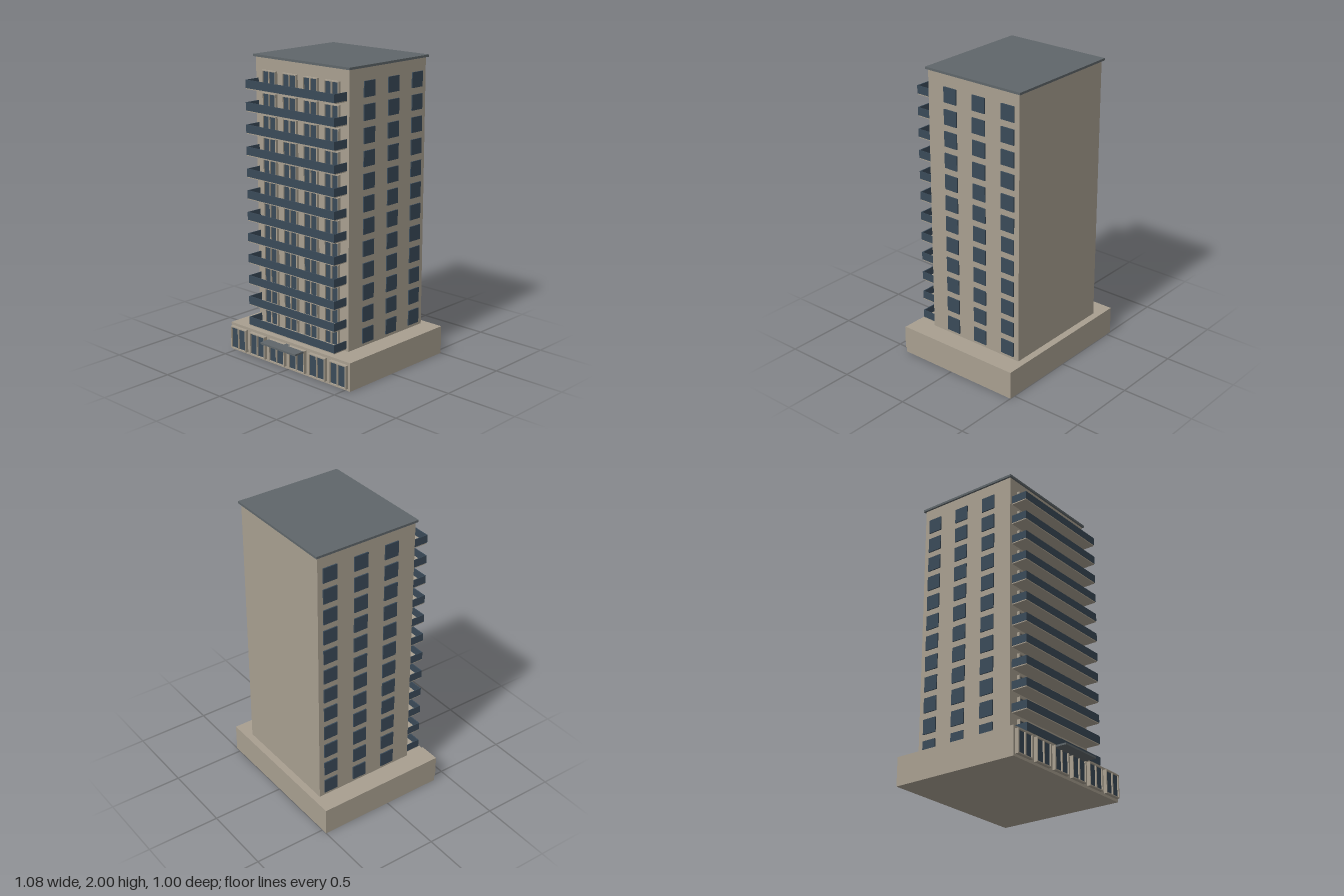
import * as THREE from 'three';

export function createModel() {
  const tower = new THREE.Group();
  tower.name = 'apartmentTower';

  const mat = (name, color) => {
    const m = new THREE.MeshStandardMaterial({ color });
    m.name = name;
    return m;
  };
  const wall = mat('beigeConcrete', 0xa89f90);
  const glass = mat('blueGlass', 0x3a4a58);
  const roofGrey = mat('roofGrey', 0x5f666a);

  // Box given by its low and high limits on each axis
  const box = (parent, name, material, [x0, x1], [y0, y1], [z0, z1]) => {
    const mesh = new THREE.Mesh(new THREE.BoxGeometry(x1 - x0, y1 - y0, z1 - z0), material);
    mesh.position.set((x0 + x1) / 2, (y0 + y1) / 2, (z0 + z1) / 2);
    mesh.name = name;
    parent.add(mesh);
    return mesh;
  };

  // Framed glazing on a front wall: open frame, centre mullion and recessed glass
  const glazing = (parent, name, x, y, z, w, h, depth, bar) => {
    const g = new THREE.Group();
    g.name = name;
    const s = new THREE.Shape();
    s.moveTo(-w / 2, 0).lineTo(w / 2, 0).lineTo(w / 2, h).lineTo(-w / 2, h).closePath();
    for (const side of [-1, 1]) {
      const a = side * bar / 2, b = side * (w / 2 - bar);
      const hole = new THREE.Path();
      hole.moveTo(a, bar).lineTo(a, h - bar).lineTo(b, h - bar).lineTo(b, bar).closePath();
      s.holes.push(hole);
    }
    const frame = new THREE.Mesh(new THREE.ExtrudeGeometry(s, { depth, bevelEnabled: false }), wall);
    frame.name = 'frame';
    g.add(frame);
    box(g, 'pane', glass, [-w / 2 + bar / 2, w / 2 - bar / 2], [bar / 2, h - bar / 2], [0, depth * 0.55]);
    g.position.set(x, y, z);
    parent.add(g);
  };

  // Main masses
  box(tower, 'podium', wall, [-0.54, 0.54], [0, 0.19], [-0.5, 0.4]);
  box(tower, 'shaft', wall, [-0.403, 0.403], [0.19, 1.985], [-0.452, 0.267]);
  box(tower, 'roofSlab', roofGrey, [-0.416, 0.416], [1.985, 2], [-0.466, 0.279]);

  // Ground-floor shopfronts and entrance canopy
  for (let i = 0; i < 6; i++) {
    glazing(tower, 'shopfront', (i - 2.5) * 0.181, 0.017, 0.4, 0.142, 0.155, 0.024, 0.007);
  }
  box(tower, 'canopy', roofGrey, [-0.158, 0.158], [0.16, 0.172], [0.4, 0.5]);

  // Twelve repeated storeys
  for (let f = 0; f < 12; f++) {
    const y = 0.2 + f * 0.1445;
    const storey = new THREE.Group();
    storey.name = 'storey';
    tower.add(storey);

    // Balcony with floor slab and thin parapets
    box(storey, 'balconyFloor', wall, [-0.383, 0.383], [y, y + 0.009], [0.267, 0.377]);
    box(storey, 'balconyFront', glass, [-0.385, 0.385], [y + 0.007, y + 0.06], [0.373, 0.38]);
    for (const s of [-1, 1]) {
      const ends = [s * 0.381, s * 0.385].sort((a, b) => a - b);
      box(storey, 'balconyEnd', glass, ends, [y + 0.007, y + 0.06], [0.267, 0.375]);
    }

    // Balcony doors
    for (let i = 0; i < 4; i++) {
      glazing(storey, 'balconyDoor', (i - 1.5) * 0.181, y + 0.009, 0.267, 0.12, 0.109, 0.02, 0.006);
    }

    // Side windows on both flanks
    for (const s of [-1, 1]) {
      for (const z of [0.088, -0.138, -0.365]) {
        const span = [s * 0.402, s * 0.411].sort((a, b) => a - b);
        box(storey, 'sideWindow', glass, span, [y + 0.012, y + 0.112], [z - 0.05, z + 0.05]);
      }
    }
  }
  return tower;
}
